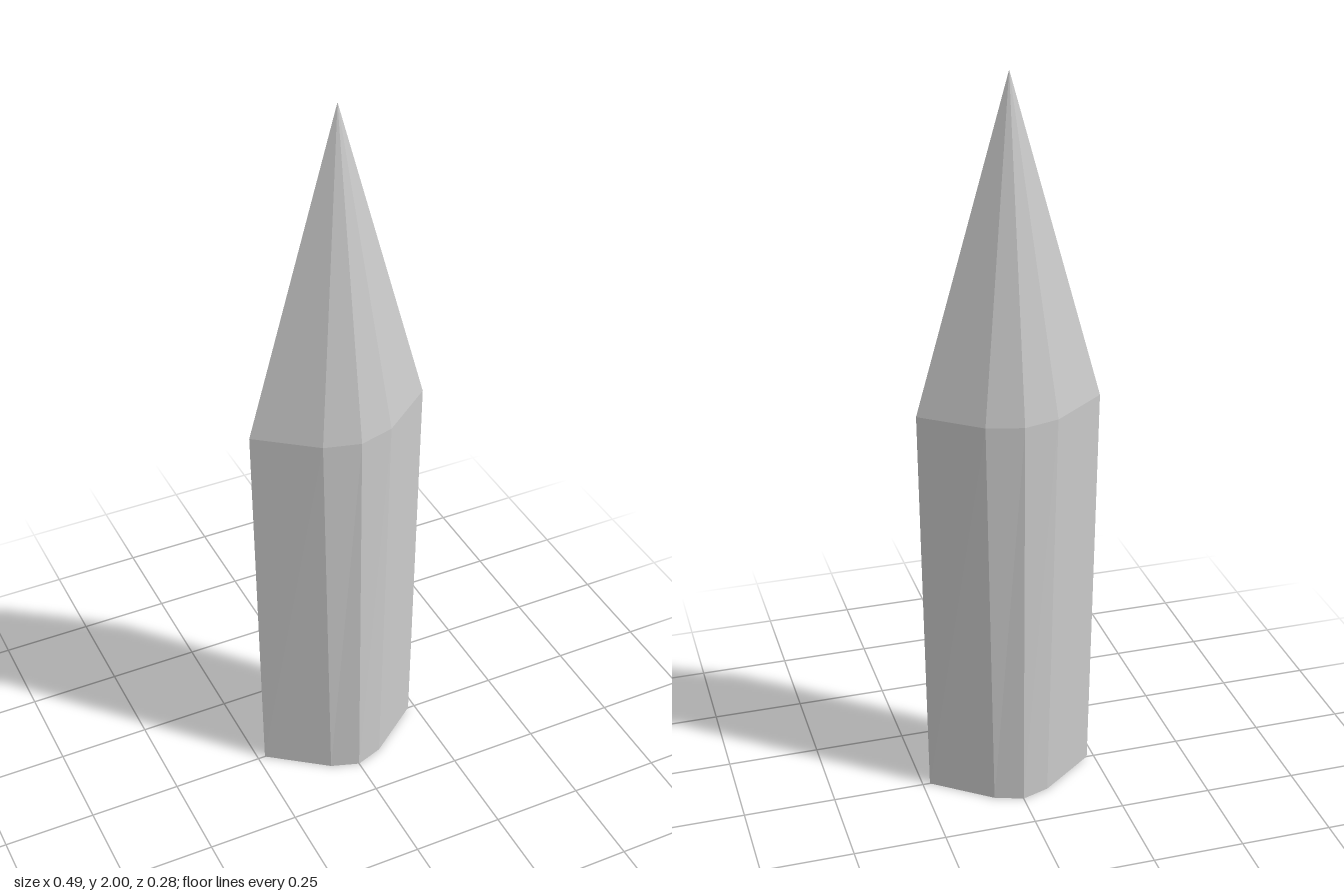
import * as THREE from 'three';

// Eight-sided lens-shaped ring: sharp at the sides, blunt ridge front and back
function ring(y, halfWidth, shoulderX, shoulderZ, halfDepth) {
  return [
    [halfWidth, 0], [shoulderX, shoulderZ], [0, halfDepth], [-shoulderX, shoulderZ],
    [-halfWidth, 0], [-shoulderX, -shoulderZ], [0, -halfDepth], [shoulderX, -shoulderZ],
  ].map(([x, z]) => new THREE.Vector3(x, y, z));
}

function meshFrom(name, triangles) {
  const geometry = new THREE.BufferGeometry().setFromPoints(triangles);
  geometry.computeVertexNormals();
  const material = new THREE.MeshStandardMaterial({ color: 0xcccccc, flatShading: true });
  const mesh = new THREE.Mesh(geometry, material);
  mesh.name = name;
  return mesh;
}

export function createModel() {
  const base = ring(0, 0.23, 0.076, 0.116, 0.142);
  const shoulder = ring(1.125, 0.246, 0.096, 0.116, 0.142);
  const tip = new THREE.Vector3(0, 2, 0);
  const centre = new THREE.Vector3(0, 0, 0);
  const shaft = [], point = [], bottom = [];

  for (let i = 0; i < base.length; i++) {
    const j = (i + 1) % base.length;
    shaft.push(base[i], shoulder[i], base[j], base[j], shoulder[i], shoulder[j]);
    point.push(shoulder[i], tip, shoulder[j]);
    bottom.push(centre, base[i], base[j]);
  }

  const group = new THREE.Group();
  group.name = 'spike';
  group.add(
    meshFrom('shaft', shaft),
    meshFrom('taperedPoint', point),
    meshFrom('bottomCap', bottom),
  );
  return group;
}
